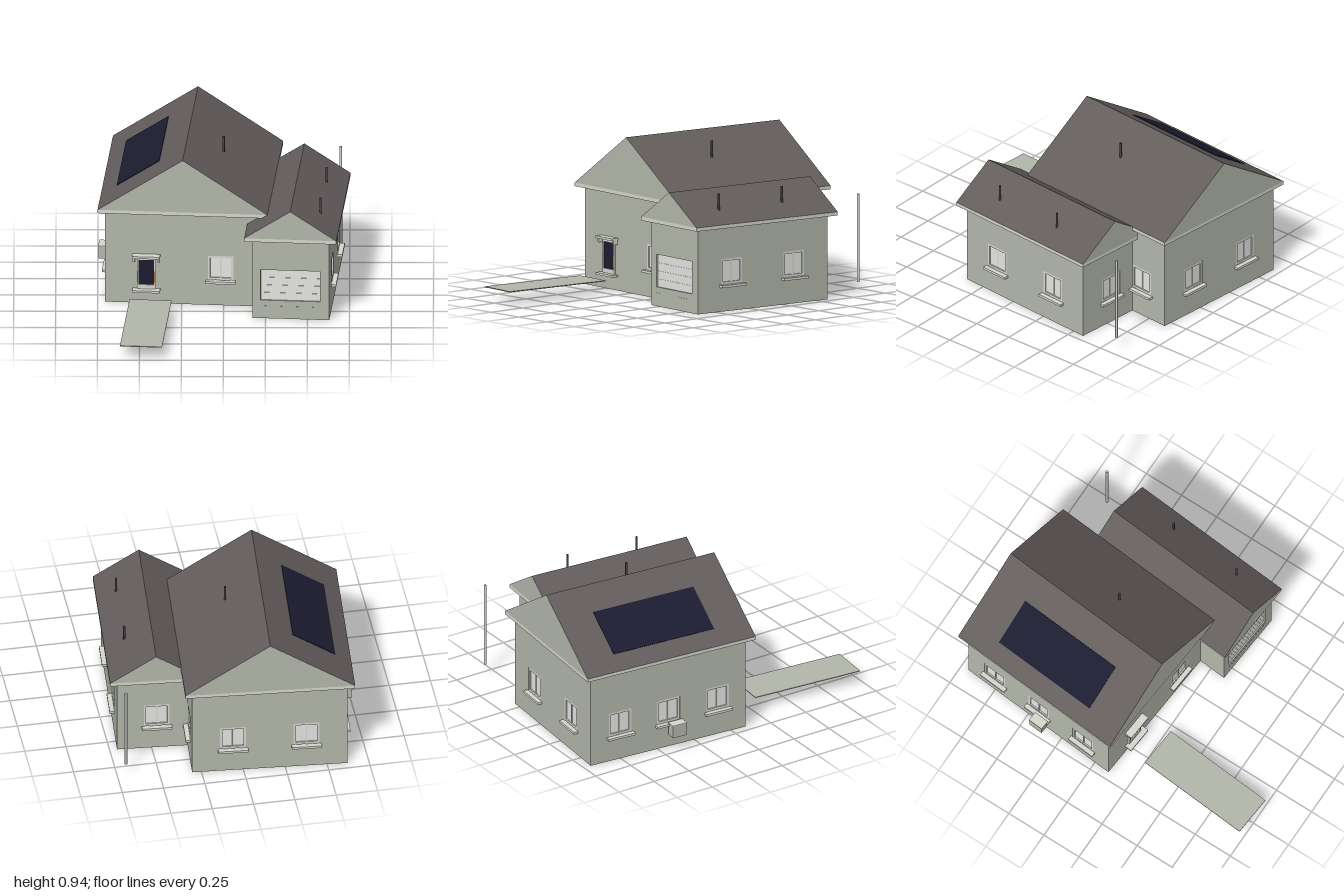
import * as THREE from 'three';

const mat = (name, color) => {
  const m = new THREE.MeshStandardMaterial({ color });
  m.name = name;
  return m;
};

export function createModel() {
  const wall = mat('wall render', 0xb4b8ab);
  const trim = mat('pale trim', 0xd6d8d0);
  const pane = mat('window pane', 0xe8e9e5);
  const roof = mat('roof tile', 0x635d5c);
  const navy = mat('dark navy', 0x1c1c31);
  const earth = mat('brown floor', 0x7c573d);
  const metal = mat('dark metal', 0x434345);
  const brown = mat('warm brown', 0xa5714a);

  const model = new THREE.Group();
  model.name = 'house';
  const house = new THREE.Group();
  house.name = 'turnedHouse';
  house.rotation.y = -0.079;
  model.add(house);

  const add = (name, geo, material, parent = house) => {
    const m = new THREE.Mesh(geo, material);
    m.name = name;
    parent.add(m);
    return m;
  };
  // Box given by its limits on each axis
  const box = (name, x0, x1, y0, y1, z0, z1, material, parent = house) => {
    const m = add(name, new THREE.BoxGeometry(x1 - x0, y1 - y0, z1 - z0), material, parent);
    m.position.set((x0 + x1) / 2, (y0 + y1) / 2, (z0 + z1) / 2);
  };
  const rod = (name, x, z, y0, y1, r, material) => {
    const m = add(name, new THREE.CylinderGeometry(r, r, y1 - y0, 10), material);
    m.position.set(x, (y0 + y1) / 2, z);
  };
  const rect = (P, x0, x1, y0, y1) => new P([[x0, y0], [x1, y0], [x1, y1], [x0, y1]]
    .map(([a, b]) => new THREE.Vector2(a, b)));

  // Two-light window set back in its opening, with frame and sill
  const buildWindow = (g) => {
    box('glass', -0.066, 0.066, 0.17, 0.31, -0.013, -0.009, pane, g);
    for (const s of [-1, 1]) {
      box('frameSide', s * 0.07 - 0.007, s * 0.07 + 0.007, 0.163, 0.317, -0.013, -0.001, trim, g);
      box('frameRail', -0.063, 0.063, 0.24 + s * 0.07 - 0.007, 0.24 + s * 0.07 + 0.007, -0.013, -0.001, trim, g);
    }
    box('mullion', -0.004, 0.004, 0.177, 0.303, -0.013, -0.005, trim, g);
    box('sill', -0.09, 0.09, 0.146, 0.161, -0.003, 0.028, trim, g);
  };
  // Sectional garage door set back in its opening
  const buildGarageDoor = (g) => {
    for (let i = 0; i < 4; i++) {
      const y = 0.116 + i * 0.049;
      box('doorPanel', -0.177, 0.177, y, y + 0.047, -0.014, -0.01, pane, g);
    }
    box('doorBacking', -0.177, 0.177, 0.116, 0.312, -0.015, -0.0125, pane, g);
    box('threshold', -0.177, 0.177, 0.08, 0.116, -0.014, -0.001, wall, g);
  };
  const win = (at) => ({ at, half: 0.077, y0: 0.163, y1: 0.317, name: 'window', build: buildWindow });

  // Wall panel facing outward along the given turn, with openings cut through
  const t = 0.014;
  const wallPanel = (name, cx, cz, turn, length, height, openings) => {
    const g = new THREE.Group();
    g.name = name;
    g.position.set(cx, 0, cz);
    g.rotation.y = turn;
    house.add(g);
    const shape = rect(THREE.Shape, -length / 2, length / 2, 0, height);
    for (const o of openings) {
      const local = g.worldToLocal(new THREE.Vector3());
      local.set(o.at[0] - cx, 0, o.at[1] - cz).applyAxisAngle(THREE.Object3D.DEFAULT_UP, -turn);
      shape.holes.push(rect(THREE.Path, local.x - o.half, local.x + o.half, o.y0, o.y1));
      const unit = new THREE.Group();
      unit.name = o.name;
      unit.position.x = local.x;
      g.add(unit);
      o.build(unit);
    }
    add('wallFace', new THREE.ExtrudeGeometry(shape, { depth: t, bevelEnabled: false }), wall, g).position.z = -t;
  };

  // One wing: hollow walls, raised floor, eaves board and gabled roof
  const wing = (name, [x0, x1, z0, z1], r, eave, ridge, [front, right, back, left]) => {
    const q = Math.PI / 2, cx = (x0 + x1) / 2, cz = (z0 + z1) / 2, h = eave - 0.02;
    wallPanel(name + 'FrontWall', cx, z1, 0, x1 - x0 - 2 * t, h, front);
    wallPanel(name + 'RightWall', x1, cz, q, z1 - z0, h, right);
    wallPanel(name + 'BackWall', cx, z0, 2 * q, x1 - x0 - 2 * t, h, back);
    wallPanel(name + 'LeftWall', x0, cz, -q, z1 - z0, h, left);
    box(name + 'Floor', x0 + t, x1 - t, 0.08, 0.085, z0 + t, z1 - t, earth);
    box(name + 'EavesBoard', r[0], r[1], eave - 0.022, eave, r[2], r[3], trim);
    const gable = new THREE.Shape([
      new THREE.Vector2(r[0], eave), new THREE.Vector2(r[1], eave),
      new THREE.Vector2((r[0] + r[1]) / 2, ridge)]);
    const g = new THREE.ExtrudeGeometry(gable, { depth: r[3] - r[2], bevelEnabled: false });
    add(name + 'Roof', g, [wall, roof]).position.z = r[2];
  };
  wing('main', [-0.695, 0.235, -0.9, 0.156], [-0.737, 0.279, -0.943, 0.2], 0.61, 0.945, [
    [win([-0.005, 0.156])],
    [win([0.235, -0.708])],
    [win([-0.01, -0.9]), win([-0.45, -0.9])],
    [-0.7, -0.37, -0.036].map((z) => win([-0.695, z]))]);
  wing('garage', [0.199, 0.658, -0.633, 0.333], [0.153, 0.703, -0.676, 0.376], 0.53, 0.71, [
    [{ at: [0.425, 0.333], half: 0.177, y0: 0.08, y1: 0.312, name: 'garageDoor', build: buildGarageDoor }],
    [win([0.658, 0.08]), win([0.658, -0.382])],
    [win([0.42, -0.633])],
    []]);

  // Front door with frame, step and canopy
  const door = new THREE.Group();
  door.name = 'frontDoor';
  door.position.set(-0.449, 0, 0.156);
  house.add(door);
  box('doorLeaf', -0.047, 0.047, 0.122, 0.282, -0.002, 0.006, navy, door);
  box('doorHead', -0.056, 0.056, 0.282, 0.296, -0.002, 0.012, trim, door);
  box('doorSill', -0.056, 0.056, 0.095, 0.122, -0.002, 0.012, trim, door);
  for (const s of [-1, 1]) {
    box('doorJamb', s * 0.0515 - 0.0045, s * 0.0515 + 0.0045, 0.122, 0.282, -0.002, 0.012, trim, door);
    box('jambInset', s * 0.051 - 0.003, s * 0.051 + 0.003, 0.135, 0.21, 0.011, 0.014, brown, door);
    box('canopyBracket', s * 0.073 - 0.006, s * 0.073 + 0.006, 0.275, 0.302, -0.002, 0.03, trim, door);
  }
  box('canopy', -0.083, 0.083, 0.302, 0.316, -0.002, 0.047, trim, door);
  box('doorStep', -0.083, 0.083, 0.082, 0.095, -0.002, 0.045, trim, door);

  // Solar panel lying on the left roof slope
  const slope = Math.atan2(0.335, 0.508);
  const solar = add('solarPanel', new THREE.BoxGeometry(0.253 / Math.cos(slope), 0.006, 0.682), navy);
  solar.position.set(-0.5125, 0.61 + 0.2245 * Math.tan(slope) + 0.001, -0.371);
  solar.rotation.z = slope;

  // Roof vents and freestanding downpipe
  rod('mainVent', -0.0225, -0.284, 0.79, 0.905, 0.007, metal);
  rod('garageVent', 0.586, -0.347, 0.59, 0.7, 0.007, metal);
  rod('garageVent', 0.589, 0.124, 0.59, 0.7, 0.007, metal);
  rod('downpipe', 0.629, -0.884, 0.08, 0.61, 0.008, trim);

  // Outdoor cooling unit
  box('coolingUnit', -0.77, -0.715, 0.088, 0.165, -0.38, -0.29, wall);
  box('coolingUnitLid', -0.773, -0.712, 0.165, 0.171, -0.383, -0.287, trim);

  // Front path slab
  box('path', -0.537, -0.286, 0.08, 0.085, 0.309, 1.023, wall);

  return model;
}
